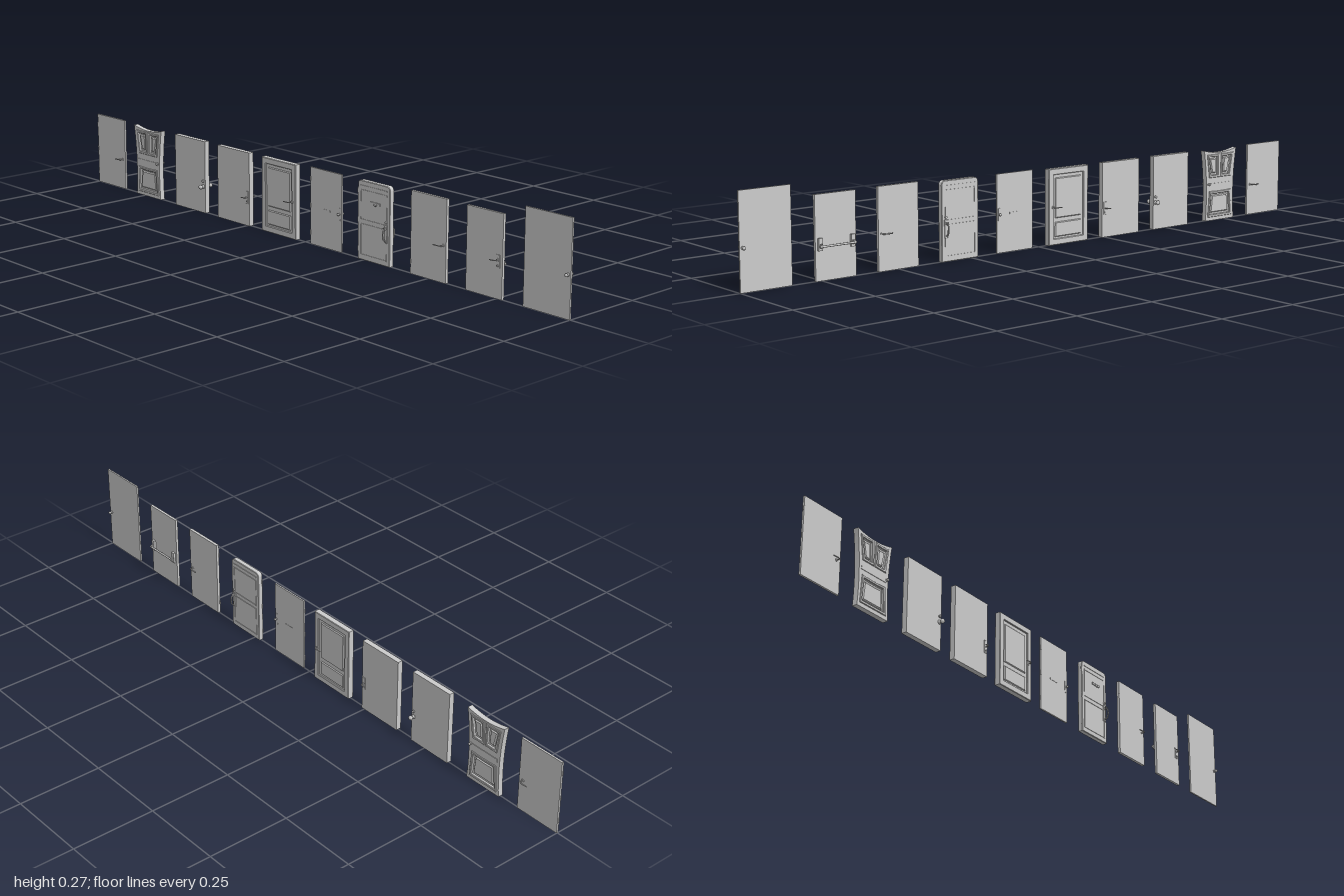
import * as THREE from 'three';

const material = new THREE.MeshStandardMaterial({ color: 0xcccccc });

function add(parent, name, geometry, x = 0, y = 0, z = 0) {
  const mesh = new THREE.Mesh(geometry, material);
  mesh.name = name;
  mesh.position.set(x, y, z);
  parent.add(mesh);
  return mesh;
}
const box = (w, h, d) => new THREE.BoxGeometry(w, h, d);
const disc = (r, d, n = 20) => new THREE.CylinderGeometry(r, r, d, n).rotateX(Math.PI / 2);

function rect(w, h, cx = 0, cy = 0, type = THREE.Shape) {
  const p = new type();
  p.moveTo(cx - w / 2, cy - h / 2).lineTo(cx + w / 2, cy - h / 2);
  p.lineTo(cx + w / 2, cy + h / 2).lineTo(cx - w / 2, cy + h / 2).closePath();
  return p;
}
// Extrusion centred on z = 0, with a bevel kept inside the outline
function plate(shape, depth, bevel = 0, curveSegments = 10) {
  return new THREE.ExtrudeGeometry(shape, {
    depth: depth - 2 * bevel, bevelEnabled: bevel > 0, bevelThickness: bevel,
    bevelSize: bevel, bevelOffset: -bevel, bevelSegments: 1, curveSegments,
  }).translate(0, 0, bevel - depth / 2);
}
function frame(w, h, t, depth, bevel = 0) {
  const s = rect(w, h);
  s.holes.push(rect(w - 2 * t, h - 2 * t, 0, 0, THREE.Path));
  return plate(s, depth, bevel);
}
function door(root, name, x, w) {
  const g = new THREE.Group();
  g.name = name;
  g.position.x = x;
  g.userData.w = w;
  root.add(g);
  return g;
}
// Runs a builder on the front and the back face; dir keeps handles pointing the same way
function bothSides(g, name, x, y, z, build) {
  for (const s of [1, -1]) {
    const side = new THREE.Group();
    side.name = name;
    side.position.set(x, y, z * s);
    side.rotation.y = s > 0 ? 0 : Math.PI;
    build(side, s);
    g.add(side);
  }
}
// Lever handle on a round rose
function lever(len = 0.022, rose = 0.0045, out = 0.012) {
  return (g, s) => {
    add(g, 'rose', disc(rose, 0.002), 0, 0, 0.001);
    const path = new THREE.CatmullRomCurve3([
      new THREE.Vector3(0, 0, 0), new THREE.Vector3(0, 0, out * 0.8),
      new THREE.Vector3(-s * 0.004, 0, out), new THREE.Vector3(-s * len, -0.0005, out),
    ]);
    add(g, 'lever', new THREE.TubeGeometry(path, 16, 0.0017, 8));
    add(g, 'leverTip', new THREE.SphereGeometry(0.0017, 8, 6), -s * len, -0.0005, out);
  };
}
// Turned knob on a rose
function knob(r = 0.006, out = 0.015) {
  const pts = [[0, 0], [r * 0.95, 0], [r * 0.85, 0.002], [r * 0.35, 0.003], [r * 0.35, out * 0.4],
    [r * 0.8, out * 0.5], [r, out * 0.7], [r * 0.75, out * 0.93], [0, out]];
  return (g) => add(g, 'knob', new THREE.LatheGeometry(pts.map(p => new THREE.Vector2(...p)), 20).rotateX(Math.PI / 2));
}
function hinges(g, z, ys) {
  for (const y of ys) add(g, 'hinge', new THREE.CylinderGeometry(0.0018, 0.0018, 0.014, 10), -g.userData.w / 2, y, z);
}

// Crooked storybook door with a dished top and three moulded panels
function crookedDoor(root) {
  const g = door(root, 'crookedDoor', -0.73, 0.14);
  const outline = new THREE.Shape();
  outline.moveTo(-0.061, 0).lineTo(0.061, 0).quadraticCurveTo(0.051, 0.11, 0.069, 0.222);
  outline.quadraticCurveTo(0, 0.203, -0.069, 0.222).quadraticCurveTo(-0.051, 0.11, -0.061, 0);
  const panel = (cx, cy, w, h, lean, flare, type = THREE.Shape) => {
    const p = new type(), pt = (x, y) => [cx + x * (w / 2 + flare * y) + lean * y, cy + y * h / 2];
    p.moveTo(...pt(-1, -1)).lineTo(...pt(1, -1)).lineTo(...pt(1, 1));
    const top = pt(0, 0.92), end = pt(-1, 1);
    p.quadraticCurveTo(...top, ...end).closePath();
    return p;
  };
  const specs = [[-0.027, 0.172, 0.043, 0.068, -0.003, 0.002], [0.027, 0.172, 0.043, 0.068, 0.003, 0.002],
    [0, 0.052, 0.092, 0.076, 0, -0.003]];
  for (const [cx, cy, w, h, l, f] of specs) {
    outline.holes.push(panel(cx, cy, w, h, l, f, THREE.Path));
    const mould = panel(cx, cy, w + 0.006, h + 0.006, l, f);
    mould.holes.push(panel(cx, cy, w - 0.01, h - 0.01, l, f, THREE.Path));
    add(g, 'panelMoulding', plate(mould, 0.021, 0.0015));
    add(g, 'panelField', plate(panel(cx, cy, w, h, l, f), 0.006));
    add(g, 'raisedPanel', plate(panel(cx, cy, w - 0.021, h - 0.021, l, f), 0.014, 0.003));
  }
  add(g, 'frame', plate(outline, 0.016));
  bothSides(g, 'crossRail', 0, 0.112, 0.008, s => add(s, 'rail', box(0.1, 0.009, 0.003)));
  bothSides(g, 'doorKnob', 0.05, 0.115, 0.008, knob(0.004, 0.009));
}

// Door with one large sunk panel and a raised centre field
function panelDoor(root) {
  const g = door(root, 'panelDoor', -0.107, 0.15);
  add(g, 'frame', frame(0.15, 0.225, 0.018, 0.019, 0.0015), 0, 0.1125);
  add(g, 'sunkPanel', box(0.116, 0.191, 0.01), 0, 0.1125);
  add(g, 'upperField', plate(rect(0.1, 0.12), 0.015, 0.003), 0, 0.138);
  add(g, 'lowerField', plate(rect(0.1, 0.045), 0.015, 0.003), 0, 0.045);
  bothSides(g, 'handle', 0.06, 0.112, 0.0095, lever(0.024));
}

// Door with clipped top corners, thumb-latch pull and door knocker
function latchDoor(root) {
  const g = door(root, 'latchDoor', 0.291, 0.128);
  const s = new THREE.Shape();
  s.moveTo(-0.064, 0).lineTo(0.064, 0).lineTo(0.064, 0.218).quadraticCurveTo(0.063, 0.229, 0.052, 0.23);
  s.lineTo(-0.052, 0.23).quadraticCurveTo(-0.063, 0.229, -0.064, 0.218).closePath();
  add(g, 'leaf', plate(s, 0.016, 0.0015));
  bothSides(g, 'leafTrim', 0, 0, 0.008, t => {
    add(t, 'upperPanelTrim', frame(0.106, 0.088, 0.003, 0.003), 0, 0.16);
    add(t, 'lowerPanelTrim', frame(0.106, 0.092, 0.003, 0.003), 0, 0.06);
    add(t, 'topRail', box(0.106, 0.003, 0.003), 0, 0.215);
  });
  add(g, 'knockerPlate', box(0.036, 0.007, 0.003), 0.008, 0.172, 0.009);
  add(g, 'knocker', new THREE.TorusGeometry(0.006, 0.0012, 8, 20, Math.PI).rotateZ(Math.PI), 0.008, 0.172, 0.011);
  bothSides(g, 'pullHandle', 0.051, 0.094, 0.008, h => {
    add(h, 'backPlate', plate(rect(0.011, 0.052), 0.003, 0.0008), 0, 0, 0.0015);
    const path = new THREE.CatmullRomCurve3([[0, 0.014, 0.002], [0, 0.012, 0.012], [0, 0, 0.015],
      [0, -0.016, 0.011], [0, -0.02, 0.002]].map(p => new THREE.Vector3(...p)));
    add(h, 'grip', new THREE.TubeGeometry(path, 20, 0.002, 8));
    add(h, 'thumbLatch', box(0.005, 0.0015, 0.01), 0, 0.018, 0.007);
    add(h, 'lockCylinder', disc(0.0035, 0.004), 0, 0.033, 0.002);
  });
  hinges(g, 0.006, [0.03, 0.115, 0.2]);
}

// Flush door with a crash bar across the back
function crashBarDoor(root) {
  const g = door(root, 'crashBarDoor', 0.705, 0.13);
  add(g, 'leaf', box(0.13, 0.235, 0.008), 0, 0.1175);
  add(g, 'frontPlate', box(0.012, 0.036, 0.002), 0.05, 0.104, 0.005);
  const front = new THREE.Group();
  front.name = 'frontHandle';
  front.position.set(0.05, 0.108, 0.006);
  lever(0.018)(front, 1);
  g.add(front);
  add(g, 'lockCylinder', disc(0.003, 0.004), 0.05, 0.092, 0.007);
  for (const x of [-0.052, 0.052]) {
    add(g, 'barBracket', box(0.012, 0.034, 0.007), x, 0.1, -0.0075);
    add(g, 'barArm', box(0.006, 0.011, 0.011), x, 0.096, -0.012);
  }
  add(g, 'crashBar', new THREE.CylinderGeometry(0.003, 0.003, 0.116, 12).rotateZ(Math.PI / 2), 0, 0.095, -0.016);
}

export function createModel() {
  const root = new THREE.Group();
  root.name = 'doorRow';

  // Flush doors: name, centre x, width, height, thickness
  const flush = [['leverDoor', -0.928, 0.144, 0.225, 0.006], ['knobDoor', -0.519, 0.145, 0.225, 0.016],
    ['plateDoor', -0.313, 0.147, 0.225, 0.016], ['letterDoor', 0.09, 0.131, 0.229, 0.005],
    ['slimLeverDoor', 0.5, 0.134, 0.236, 0.009], ['tallDoor', 0.921, 0.158, 0.27, 0.005]];
  const d = {};
  for (const [name, x, w, h, t] of flush) {
    d[name] = door(root, name, x, w);
    add(d[name], 'leaf', box(w, h, t), 0, h / 2);
  }

  bothSides(d.leverDoor, 'handle', 0.058, 0.096, 0.003, lever(0.024));
  hinges(d.leverDoor, 0.002, [0.04, 0.112, 0.19]);

  bothSides(d.knobDoor, 'knobSet', 0.064, 0.083, 0.008, knob(0.007, 0.017));
  bothSides(d.knobDoor, 'deadbolt', 0.064, 0.1, 0.008, knob(0.004, 0.006));

  bothSides(d.plateDoor, 'plateSet', 0.064, 0.088, 0.008, (g, s) => {
    add(g, 'backPlate', plate(rect(0.011, 0.038), 0.002, 0.0005), 0, 0, 0.001);
    lever(0.013, 0.004, 0.013)(g, s);
    add(g, 'keyCylinder', disc(0.0025, 0.004), 0, -0.012, 0.002);
  });

  bothSides(d.letterDoor, 'handle', 0.058, 0.112, 0.0025, (g) => {
    add(g, 'backPlate', box(0.007, 0.036, 0.0015), 0, 0, 0.0007);
    knob(0.004, 0.01)(g);
  });
  bothSides(d.letterDoor, 'letterSlot', 0, 0.112, 0.0025, g => add(g, 'flap', box(0.038, 0.005, 0.0015)));
  hinges(d.letterDoor, 0.002, [0.035, 0.115, 0.195]);

  bothSides(d.slimLeverDoor, 'handle', 0.056, 0.105, 0.0045, lever(0.028, 0.004, 0.011));
  hinges(d.slimLeverDoor, 0.004, [0.035, 0.2]);

  bothSides(d.tallDoor, 'doorKnob', 0.07, 0.119, 0.0025, knob(0.005, 0.012));

  crookedDoor(root);
  panelDoor(root);
  latchDoor(root);
  crashBarDoor(root);
  return root;
}
